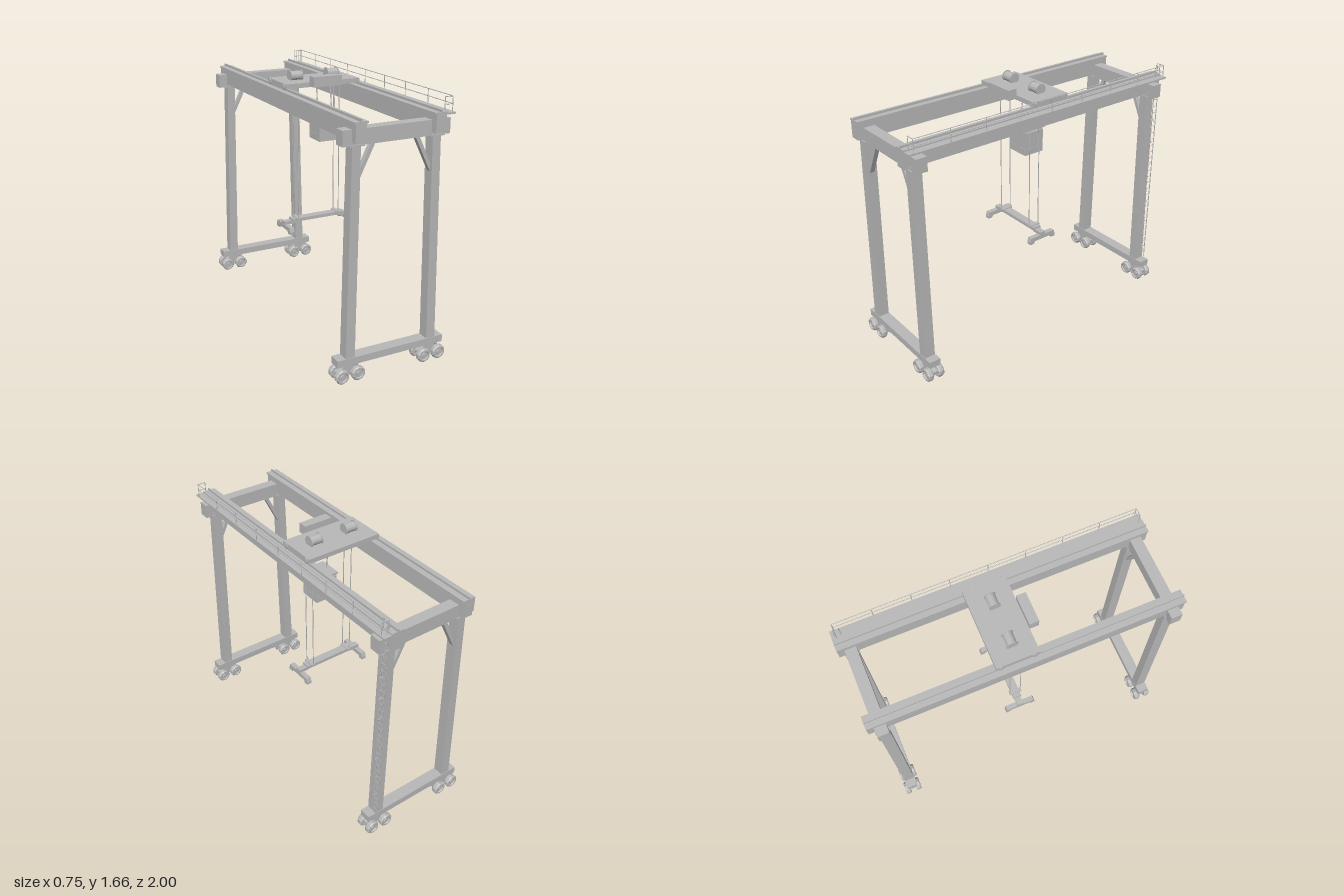
import * as THREE from 'three';

export function createModel() {
  const model = new THREE.Group();
  const steel = new THREE.MeshStandardMaterial({ color: 0xb8b8b8 });
  steel.name = 'grey steel';
  steel.flatShading = true;

  const group = (name, parent = model) => {
    const g = new THREE.Group();
    g.name = name;
    parent.add(g);
    return g;
  };
  const add = (name, geometry, parent = model) => {
    const m = new THREE.Mesh(geometry, steel);
    m.name = name;
    parent.add(m);
    return m;
  };
  // Box given by its low and high limits on each axis
  const box = (name, [x0, x1], [y0, y1], [z0, z1], parent) => {
    const m = add(name, new THREE.BoxGeometry(x1 - x0, y1 - y0, z1 - z0), parent);
    m.position.set((x0 + x1) / 2, (y0 + y1) / 2, (z0 + z1) / 2);
    return m;
  };
  // Round bar between two points
  const rod = (name, a, b, r, parent, sides = 6) => {
    const p = new THREE.Vector3(...a), q = new THREE.Vector3(...b);
    const m = add(name, new THREE.CylinderGeometry(r, r, p.distanceTo(q), sides), parent);
    m.position.copy(p).add(q).multiplyScalar(0.5);
    m.quaternion.setFromUnitVectors(new THREE.Vector3(0, 1, 0), q.sub(p).normalize());
    return m;
  };
  // Polygon in the x-y plane given a depth along z
  const plate = (name, points, depth, z, parent) => {
    const shape = new THREE.Shape(points.map(([x, y]) => new THREE.Vector2(x, y)));
    const m = add(name, new THREE.ExtrudeGeometry(shape, { depth, bevelEnabled: false }), parent);
    m.position.z = z - depth / 2;
    return m;
  };

  // Tyre with a sunken rim, turned about y and laid along z
  const wheelShape = [[0, -0.015], [0.013, -0.015], [0.015, -0.01], [0.027, -0.01], [0.03, -0.019], [0.039, -0.019],
    [0.045, -0.011], [0.045, 0.011], [0.039, 0.019], [0.03, 0.019], [0.027, 0.01], [0.015, 0.01], [0.013, 0.015], [0, 0.015]];
  const wheelGeometry = new THREE.LatheGeometry(wheelShape.map(([r, y]) => new THREE.Vector2(r, y)), 10);
  wheelGeometry.rotateX(Math.PI / 2);

  // Two end frames: sill, legs, cross beam, braces and bogies
  for (const end of [1, -1]) {
    const z = end * 0.922;
    const frame = group(end > 0 ? 'frontFrame' : 'backFrame');
    const depth = (d) => [z - d / 2, z + d / 2];
    box('sillBeam', [-0.363, 0.363], [0.105, 0.15], depth(0.076), frame);
    box('crossBeam', [-0.345, 0.345], [1.42, 1.51], depth(0.072), frame);
    for (const s of [1, -1]) {
      const mirror = (pts) => pts.map(([x, y]) => [s * x, y]);
      plate('leg', mirror([[0.248, 0.15], [0.308, 0.15], [0.284, 1.42], [0.23, 1.42]]), 0.07, z, frame);
      const px = s * 0.258;
      box('legTopPlate', [px - 0.047, px + 0.047], [1.415, 1.425], depth(0.086), frame);
      box('girderSeat', [px - 0.04, px + 0.04], [1.43, 1.445], depth(0.084), frame);
      plate('brace', mirror([[0.234, 1.205], [0.236, 1.25], [0.155, 1.42], [0.128, 1.42]]), 0.03, z, frame);

      // Bogie with four wheels
      const bogie = group('bogie', frame);
      bogie.position.set(s * 0.281, 0, z);
      box('bogiePivot', [-0.025, 0.025], [0.07, 0.106], [-0.022, 0.022], bogie);
      plate('bogieFrame', [[-0.07, 0.03], [0.07, 0.03], [0.07, 0.055], [0.03, 0.09], [-0.03, 0.09], [-0.07, 0.055]], 0.03, 0, bogie);
      for (const x of [-0.053, 0.053]) {
        rod('axle', [x, 0.045, -0.045], [x, 0.045, 0.045], 0.009, bogie, 8);
        for (const wz of [-0.038, 0.038]) {
          const wheel = add('wheel', wheelGeometry, bogie);
          wheel.position.set(x, 0.045, wz);
        }
      }
    }
  }

  // Main girders with top flange and trolley rail
  for (const s of [1, -1]) {
    const x = s * 0.254;
    const girder = group(s > 0 ? 'leftGirder' : 'rightGirder');
    box('girderWeb', [x - 0.034, x + 0.034], [1.44, 1.548], [-1, 1], girder);
    box('girderFlange', [x - 0.043, x + 0.043], [1.548, 1.558], [-1, 1], girder);
    box('trolleyRail', [x - 0.005, x + 0.005], [1.558, 1.572], [-1, 1], girder);
  }

  // Walkway and handrail beside the left girder
  const walkway = group('walkway');
  box('walkwayFloor', [0.285, 0.348], [1.54, 1.55], [-1, 1], walkway);
  for (let i = 0; i < 9; i++) {
    const z = -0.97 + i * 0.2425;
    rod('railPost', [0.345, 1.55, z], [0.345, 1.635, z], 0.0025, walkway);
  }
  for (const y of [1.592, 1.635]) {
    rod('handrail', [0.345, y, -0.97], [0.345, y, 0.97], 0.0025, walkway);
    for (const z of [-0.97, 0.97]) rod('endRail', [0.293, y, z], [0.345, y, z], 0.0025, walkway);
  }
  for (const z of [-0.97, 0.97]) rod('endPost', [0.293, 1.55, z], [0.293, 1.635, z], 0.0025, walkway);

  // Ladder up the back left leg
  const ladder = group('ladder');
  for (const z of [-0.975, -0.94]) rod('ladderRail', [0.308, 0.15, z], [0.308, 1.635, z], 0.003, ladder);
  for (let y = 0.19; y < 1.54; y += 0.048) rod('rung', [0.308, y, -0.975], [0.308, y, -0.94], 0.002, ladder);
  for (let y = 0.31; y < 1.4; y += 0.155) rod('ladderBracket', [0.26, y, -0.945], [0.322, y, -0.945], 0.0025, ladder);

  // Trolley with wheels, machine box and two hoist drums
  const trolley = group('trolley');
  box('trolleyDeck', [-0.26, 0.26], [1.568, 1.598], [-0.2, 0.073], trolley);
  box('machineBox', [-0.1, 0.097], [1.575, 1.64], [0.073, 0.135], trolley);
  for (const x of [-0.254, 0.254])
    for (const z of [-0.17, 0.04]) rod('trolleyWheel', [x - 0.012, 1.578, z], [x + 0.012, 1.578, z], 0.018, trolley, 12);
  for (const x of [-0.133, 0.126]) {
    rod('drum', [x - 0.038, 1.622, -0.063], [x + 0.038, 1.622, -0.063], 0.031, trolley, 16);
    for (const e of [-0.038, 0.038])
      rod('drumFlange', [x + e - 0.003, 1.622, -0.063], [x + e + 0.003, 1.622, -0.063], 0.037, trolley, 16);
  }

  // Operator cabin hung under the trolley
  const cabin = group('cabin');
  box('cabinBody', [-0.01, 0.142], [1.195, 1.345], [-0.106, 0.037], cabin);
  box('cabinSill', [-0.012, 0.144], [1.236, 1.242], [-0.108, 0.039], cabin);
  box('cabinRoof', [-0.016, 0.148], [1.358, 1.37], [-0.114, 0.044], cabin);
  for (const x of [-0.002, 0.134])
    for (const z of [-0.098, 0.029]) box('roofPost', [x - 0.005, x + 0.005], [1.34, 1.36], [z - 0.005, z + 0.005], cabin);
  for (const x of [0.012, 0.112, 0.136])
    rod('cabinHanger', [x, 1.365, -0.028], [x, 1.57, -0.052], 0.004, cabin);

  // Hoist cables
  const cables = group('cables');
  for (const x of [-0.15, 0.148])
    for (const z of [0.006, -0.07]) rod('cable', [x, 0.67, z], [x, 1.57, z], 0.003, cables);

  // Spreader with sliding arms, end bars and corner feet
  const spreader = group('spreader');
  spreader.position.z = -0.032;
  box('spreaderBeam', [-0.19, 0.187], [0.655, 0.677], [-0.028, 0.028], spreader);
  for (const s of [1, -1]) {
    const span = (a, b) => (s > 0 ? [a, b] : [-b, -a]);
    box('cableAnchor', span(0.135, 0.162), [0.67, 0.682], [-0.041, 0.041], spreader);
    box('slidingArm', span(0.17, 0.245), [0.643, 0.665], [-0.02, 0.02], spreader);
    // End bar drawn in profile, then turned to run along z
    const bar = plate('endBar', [[-0.104, 0.6], [-0.074, 0.6], [-0.066, 0.617], [0.066, 0.617], [0.074, 0.6],
      [0.104, 0.6], [0.104, 0.617], [0.096, 0.645], [-0.096, 0.645], [-0.104, 0.617]], 0.033, 0, spreader);
    bar.rotation.y = Math.PI / 2;
    bar.position.set(s * 0.228 - 0.0165, 0, 0);
  }

  return model;
}
